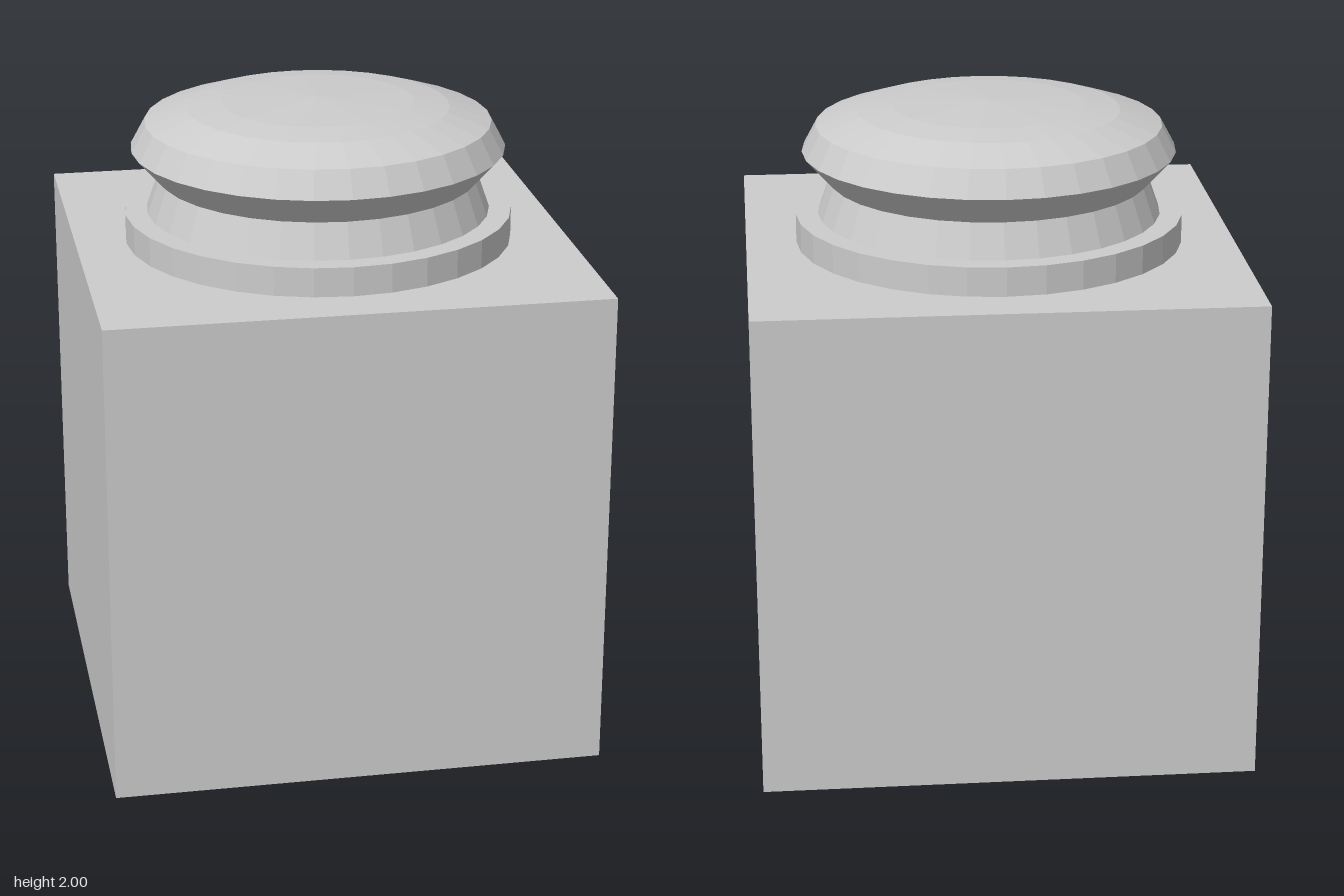
import * as THREE from 'three';

export function createModel() {
  const model = new THREE.Group();
  const grey = new THREE.MeshStandardMaterial({ color: 0xcccccc });
  grey.name = 'light grey';
  grey.flatShading = true;

  const add = (name, geometry, y = 0) => {
    const mesh = new THREE.Mesh(geometry, grey);
    mesh.name = name;
    mesh.position.y = y;
    model.add(mesh);
  };
  // Turned part from [radius, height] pairs, bottom to top
  const turned = (points) =>
    new THREE.LatheGeometry(points.map(([r, y]) => new THREE.Vector2(r, y)), 32);

  // Square body
  add('body', new THREE.BoxGeometry(1.55, 1.55, 1.55), 0.775);

  // Flat collar on top of the body
  add('collar', turned([[0.615, 1.55], [0.615, 1.642], [0, 1.642]]));

  // Neck narrowing up to the cap
  add('neck', turned([[0.545, 1.642], [0.507, 1.75]]));

  // Flared cap with a shallow dome
  add('cap', turned([
    [0.507, 1.75], [0.592, 1.845], [0.547, 1.928],
    [0.415, 1.972], [0.303, 1.987], [0, 2],
  ]));

  return model;
}
